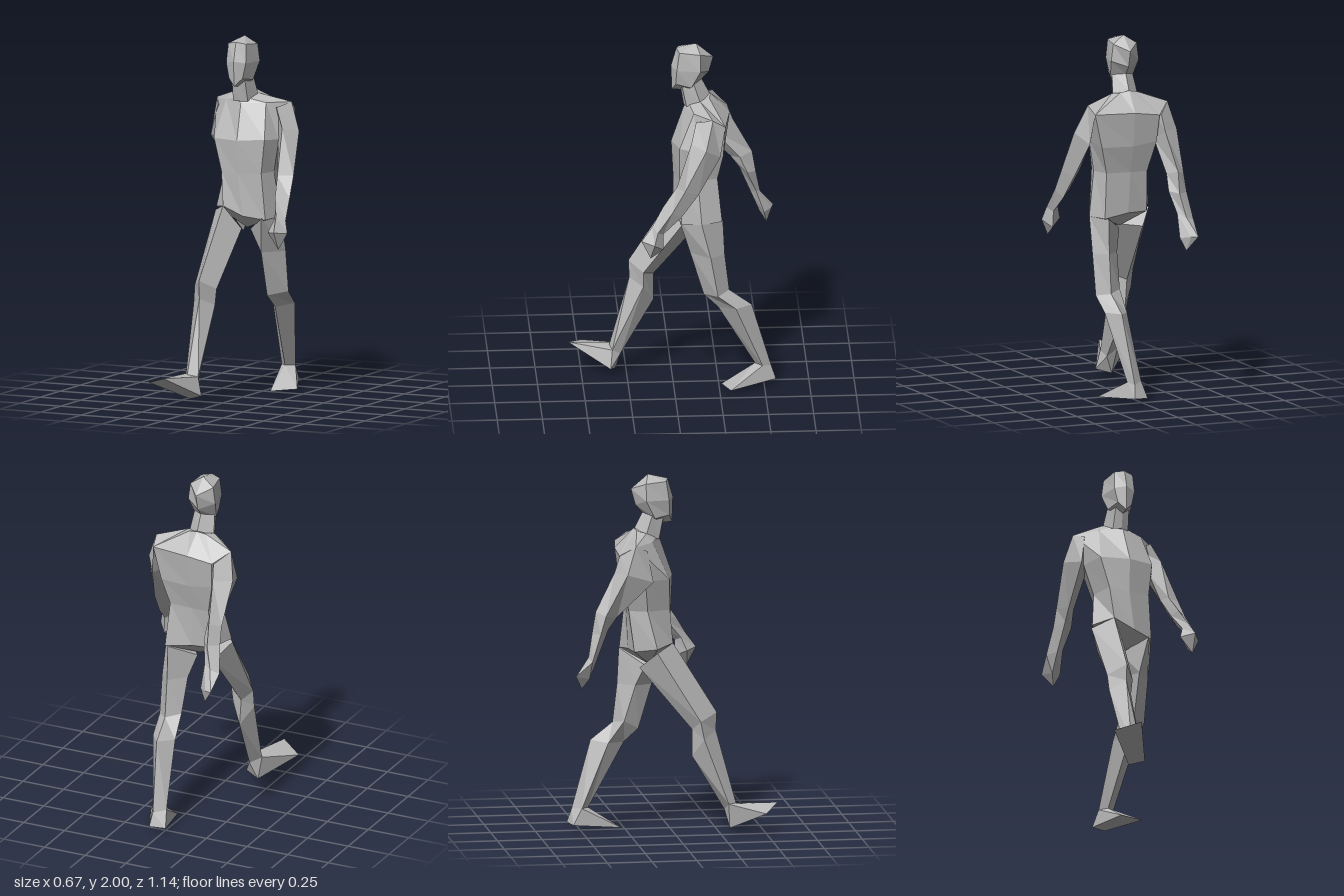
import * as THREE from 'three';
import { ConvexGeometry } from 'three/addons/geometries/ConvexGeometry.js';

const clay = new THREE.MeshStandardMaterial({ color: 0xb8b8b8, flatShading: true });
clay.name = 'clay grey';

// Skin over cross-sections listed top to bottom; each runs front, +x side, back, -x side.
// The ends close on a given tip, or on the middle of the end section.
function loft(name, rings, topTip, bottomTip) {
  const pos = [];
  const tri = (...p) => p.forEach((v) => pos.push(...v));
  const middle = (r) => [0, 1, 2].map((k) => r.reduce((s, p) => s + p[k], 0) / r.length);
  const n = rings[0].length, first = rings[0], last = rings[rings.length - 1];
  const top = topTip ?? middle(first), bottom = bottomTip ?? middle(last);
  for (let i = 0; i < n; i++) {
    const j = (i + 1) % n;
    tri(top, first[i], first[j]);
    for (let k = 0; k + 1 < rings.length; k++) {
      const a = rings[k], b = rings[k + 1];
      tri(a[i], b[i], b[j]);
      tri(a[i], b[j], a[j]);
    }
    tri(bottom, last[j], last[i]);
  }
  const geo = new THREE.BufferGeometry();
  geo.setAttribute('position', new THREE.Float32BufferAttribute(pos, 3));
  geo.computeVertexNormals();
  const mesh = new THREE.Mesh(geo, clay);
  mesh.name = name;
  return mesh;
}

// Foot wedge: ankle section, two heel corners and two toe corners
function foot(name, ankle, corners) {
  const pts = [...ankle, ...corners].map((p) => new THREE.Vector3(...p));
  const mesh = new THREE.Mesh(new ConvexGeometry(pts), clay);
  mesh.name = name;
  return mesh;
}

// Six-sided section mirrored about the head's middle plane
const headX = -0.05;
const headRing = (front, cheek, side, back) => [
  [headX, ...front], [headX + cheek[0], cheek[1], cheek[2]], [headX + side[0], side[1], side[2]],
  [headX, ...back], [headX - side[0], side[1], side[2]], [headX - cheek[0], cheek[1], cheek[2]],
];

export function createModel() {
  const man = new THREE.Group();
  man.name = 'walkingMan';

  // Head and neck
  man.add(loft('head', [
    headRing([1.975, -0.02], [0.055, 1.965, -0.035], [0.07, 1.955, -0.15], [1.92, -0.225]),
    headRing([1.87, 0.01], [0.06, 1.86, -0.02], [0.083, 1.86, -0.15], [1.83, -0.2]),
    headRing([1.73, 0.005], [0.042, 1.775, -0.015], [0.066, 1.76, -0.1], [1.785, -0.16]),
  ], [headX, 2, -0.13], [headX, 1.725, -0.05]));
  man.add(loft('neck', [
    headRing([1.76, -0.04], [0.04, 1.76, -0.05], [0.06, 1.79, -0.11], [1.79, -0.16]),
    headRing([1.64, -0.06], [0.045, 1.64, -0.075], [0.075, 1.67, -0.15], [1.7, -0.205]),
  ]));

  // Torso: neck base, shoulders, chest, waist, hips
  man.add(loft('torso', [
    [[-0.04, 1.645, -0.07], [0, 1.655, -0.09], [0.03, 1.68, -0.15], [0, 1.69, -0.2],
      [-0.05, 1.7, -0.21], [-0.1, 1.69, -0.2], [-0.13, 1.68, -0.15], [-0.09, 1.655, -0.09]],
    [[-0.04, 1.63, -0.06], [0.09, 1.635, -0.11], [0.2, 1.635, -0.21], [0.185, 1.59, -0.28],
      [-0.04, 1.59, -0.315], [-0.19, 1.57, -0.31], [-0.27, 1.63, -0.23], [-0.16, 1.635, -0.12]],
    [[-0.03, 1.43, 0.01], [0.12, 1.44, -0.03], [0.16, 1.43, -0.13], [0.14, 1.4, -0.27],
      [-0.04, 1.4, -0.29], [-0.18, 1.42, -0.29], [-0.23, 1.43, -0.17], [-0.19, 1.43, -0.03]],
    [[-0.03, 1.24, 0], [0.1, 1.25, -0.03], [0.13, 1.25, -0.13], [0.1, 1.25, -0.24],
      [-0.04, 1.25, -0.25], [-0.14, 1.25, -0.25], [-0.18, 1.25, -0.15], [-0.14, 1.25, -0.02]],
    [[0, 1.01, 0], [0.12, 0.99, -0.04], [0.165, 1, -0.15], [0.12, 1, -0.265],
      [-0.03, 1.02, -0.24], [-0.15, 1.02, -0.22], [-0.21, 1.04, -0.1], [-0.12, 1.06, 0]],
  ], undefined, [-0.03, 0.93, -0.12]));

  // Left arm swings forward
  man.add(loft('leftArm', [
    [[0.15, 1.61, -0.12], [0.2, 1.635, -0.21], [0.185, 1.59, -0.28], [0.1, 1.6, -0.2]],
    [[0.2, 1.5, -0.09], [0.265, 1.48, -0.17], [0.205, 1.42, -0.25], [0.15, 1.43, -0.14]],
    [[0.21, 1.25, -0.01], [0.29, 1.25, -0.05], [0.25, 1.22, -0.13], [0.188, 1.25, -0.07]],
    [[0.235, 1.14, 0.07], [0.3, 1.13, 0.02], [0.27, 1.09, -0.03], [0.215, 1.13, 0.01]],
    [[0.27, 1.04, 0.13], [0.315, 1.02, 0.1], [0.285, 1, 0.07], [0.245, 1.02, 0.1]],
  ]));
  man.add(loft('leftHand', [
    [[0.27, 1.04, 0.13], [0.315, 1.02, 0.1], [0.285, 1, 0.07], [0.245, 1.02, 0.1]],
    [[0.285, 0.96, 0.19], [0.335, 0.95, 0.12], [0.29, 0.91, 0.07], [0.22, 0.95, 0.13]],
  ], undefined, [0.29, 0.86, 0.14]));

  // Right arm swings back
  man.add(loft('rightArm', [
    [[-0.23, 1.6, -0.16], [-0.17, 1.6, -0.24], [-0.2, 1.57, -0.31], [-0.27, 1.63, -0.23]],
    [[-0.26, 1.43, -0.13], [-0.19, 1.42, -0.23], [-0.21, 1.48, -0.34], [-0.305, 1.48, -0.28]],
    [[-0.25, 1.24, -0.33], [-0.2, 1.25, -0.38], [-0.24, 1.27, -0.45], [-0.295, 1.25, -0.4]],
    [[-0.25, 1.17, -0.38], [-0.195, 1.16, -0.42], [-0.24, 1.15, -0.47], [-0.3, 1.15, -0.43]],
    [[-0.27, 1.01, -0.445], [-0.225, 1.04, -0.47], [-0.27, 1.02, -0.495], [-0.32, 1, -0.48]],
  ]));
  man.add(loft('rightHand', [
    [[-0.27, 1.01, -0.445], [-0.225, 1.04, -0.47], [-0.27, 1.02, -0.495], [-0.32, 1, -0.48]],
    [[-0.28, 0.9, -0.49], [-0.222, 0.91, -0.515], [-0.27, 0.92, -0.56], [-0.31, 0.92, -0.57]],
  ], undefined, [-0.255, 0.84, -0.53]));

  // Right leg strides forward on its heel
  const rightAnkle = [[-0.17, 0.16, 0.345], [-0.11, 0.15, 0.33], [-0.13, 0.12, 0.285], [-0.2, 0.16, 0.3]];
  man.add(loft('rightLeg', [
    [[-0.12, 1.06, 0], [-0.035, 0.93, -0.06], [-0.14, 0.93, -0.19], [-0.215, 1.02, -0.1]],
    [[-0.15, 0.67, 0.24], [-0.08, 0.62, 0.16], [-0.17, 0.58, 0.1], [-0.225, 0.63, 0.14]],
    [[-0.15, 0.57, 0.235], [-0.09, 0.53, 0.16], [-0.16, 0.43, 0.1], [-0.222, 0.53, 0.16]],
    rightAnkle,
  ]));
  man.add(foot('rightFoot', rightAnkle,
    [[-0.17, 0.02, 0.31], [-0.085, 0.045, 0.34], [-0.335, 0.125, 0.49], [-0.205, 0.165, 0.57]]));

  // Left leg trails behind
  const leftAnkle = [[0.04, 0.12, -0.45], [0.085, 0.12, -0.49], [0.06, 0.11, -0.54], [0, 0.12, -0.49]];
  man.add(loft('leftLeg', [
    [[0.1, 1, -0.03], [0.165, 1, -0.15], [0.1, 1, -0.27], [-0.02, 0.92, -0.14]],
    [[0.07, 0.8, -0.09], [0.168, 0.8, -0.2], [0.1, 0.8, -0.28], [0.015, 0.8, -0.19]],
    [[0.07, 0.55, -0.165], [0.165, 0.57, -0.24], [0.1, 0.585, -0.305], [0.025, 0.6, -0.25]],
    [[0.08, 0.475, -0.245], [0.155, 0.49, -0.34], [0.09, 0.49, -0.43], [0.02, 0.48, -0.34]],
    leftAnkle,
  ]));
  man.add(foot('leftFoot', leftAnkle,
    [[-0.018, 0.03, -0.54], [0.07, 0.035, -0.565], [0.04, 0, -0.265], [0.185, 0.015, -0.31]]));

  return man;
}
